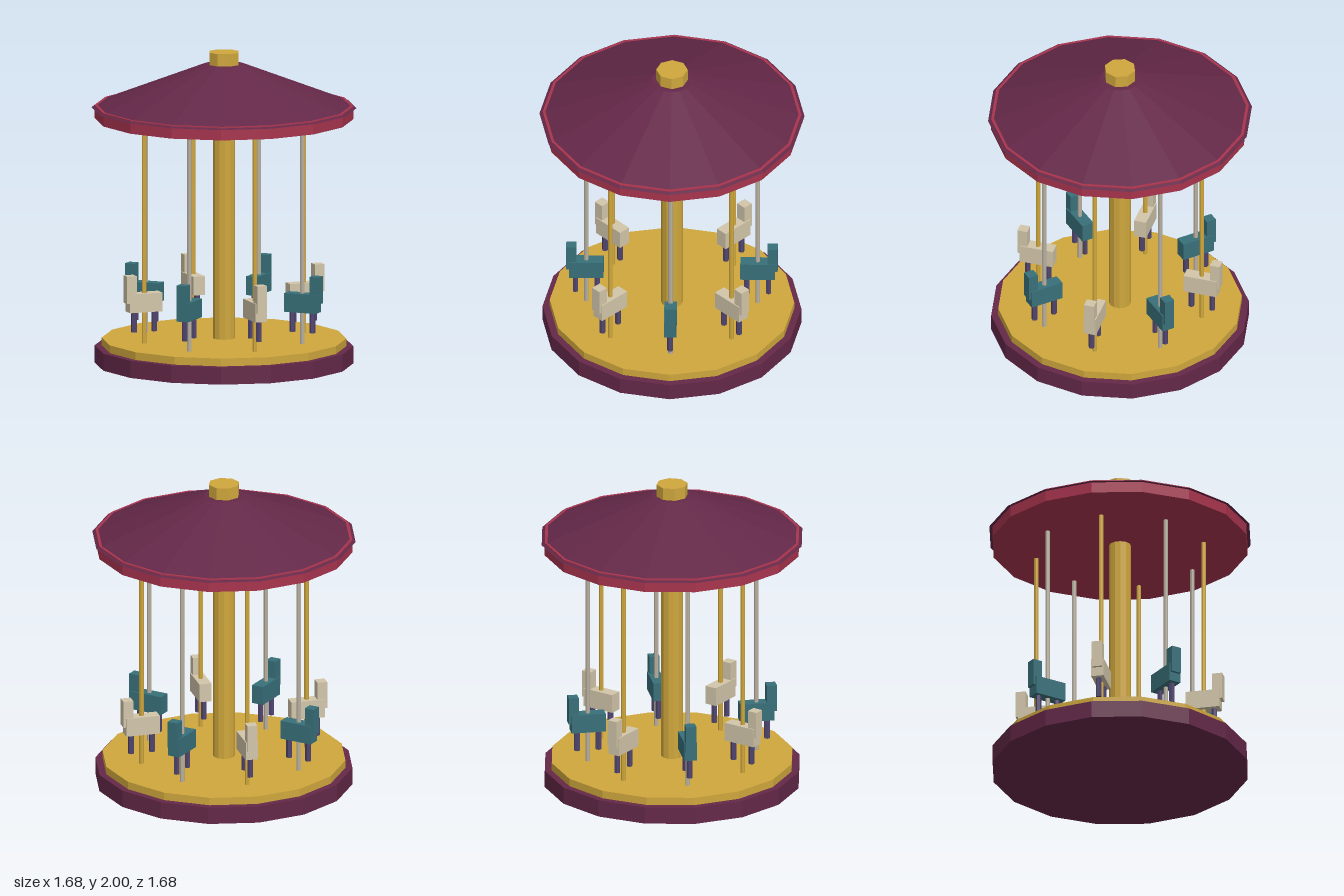
import * as THREE from 'three';

const material = (name, color) => {
  const m = new THREE.MeshStandardMaterial({ color, flatShading: true });
  m.name = name;
  return m;
};

export function createModel() {
  const plum = material('plum', 0x642848);
  const red = material('red', 0xa8344e);
  const gold = material('gold', 0xcfa73d);
  const teal = material('teal', 0x38707a);
  const cream = material('cream', 0xd2c6aa);
  const silver = material('silver', 0xb8b0a0);
  const purple = material('purple', 0x50456f);

  const add = (parent, name, geometry, mat, x = 0, y = 0, z = 0) => {
    const mesh = new THREE.Mesh(geometry, mat);
    mesh.name = name;
    mesh.position.set(x, y, z);
    parent.add(mesh);
    return mesh;
  };
  // Upright prism or frustum between two heights
  const column = (parent, name, mat, sides, y0, y1, rBottom, rTop = rBottom, x = 0, z = 0) =>
    add(parent, name, new THREE.CylinderGeometry(rTop, rBottom, y1 - y0, sides), mat, x, (y0 + y1) / 2, z);

  const carousel = new THREE.Group();
  carousel.name = 'carousel';

  // Platform and central column
  column(carousel, 'base', plum, 16, 0, 0.11, 0.82);
  column(carousel, 'deck', gold, 16, 0.11, 0.16, 0.775);
  column(carousel, 'centralColumn', gold, 12, 0.16, 1.575, 0.07);

  // Canopy: the rim pokes slightly through the sloping roof
  column(carousel, 'canopyRim', red, 16, 1.57, 1.655, 0.82);
  column(carousel, 'roof', plum, 16, 1.64, 1.92, 0.84, 0.13);
  column(carousel, 'roofCap', gold, 8, 1.9, 2, 0.1);

  // Eight riders facing outwards, alternating in colour
  for (let i = 0; i < 8; i++) {
    const odd = i % 2 === 1;
    const coat = odd ? cream : teal;
    const mount = new THREE.Group();
    mount.name = 'mount' + (i + 1);
    mount.rotation.y = (i * Math.PI) / 4;
    carousel.add(mount);

    column(mount, 'pole', odd ? gold : silver, 8, 0.16, 1.535, 0.015, 0.015, 0.543);
    add(mount, 'body', new THREE.BoxGeometry(0.22, 0.12, 0.08), coat, 0.543, 0.425, 0);
    add(mount, 'head', new THREE.BoxGeometry(0.065, 0.175, 0.066), coat, 0.638, 0.512, 0);
    for (const dx of [-0.069, 0.069]) {
      column(mount, 'leg', purple, 6, 0.235, 0.37, 0.019, 0.019, 0.543 + dx);
    }
  }
  return carousel;
}
